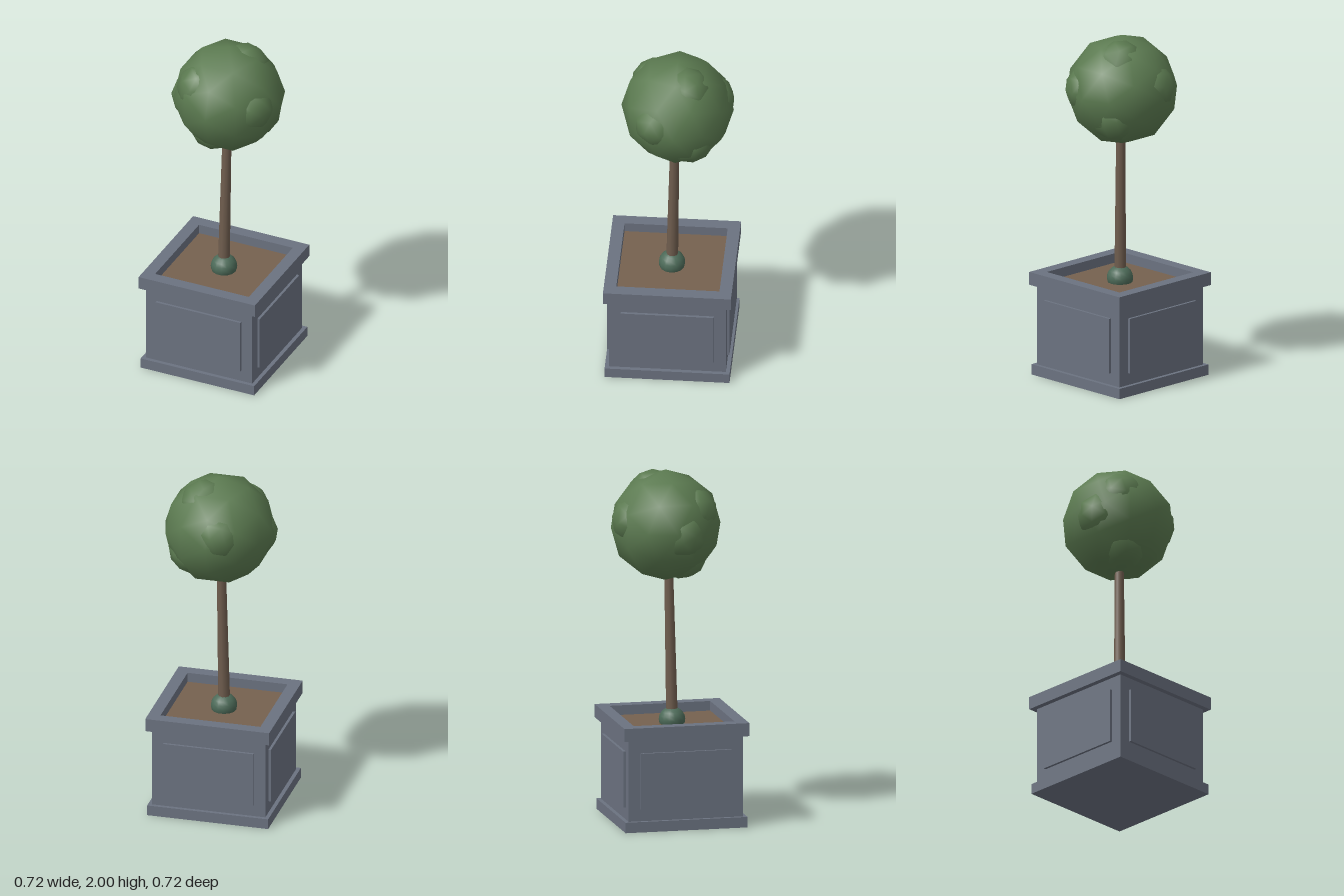
import * as THREE from 'three';

const mat = (color) => new THREE.MeshStandardMaterial({ color });

export function createModel() {
  const model = new THREE.Group();
  model.name = 'pottedTopiary';

  const slate = mat(0x6b7280);
  const soilMat = mat(0x75614f);
  const bark = mat(0x6f5d4e);
  const moss = mat(0x4c6a58);
  const leaf = mat(0x5b7a50);

  const add = (name, geometry, material, x, y, z, parent = model) => {
    const mesh = new THREE.Mesh(geometry, material);
    mesh.name = name;
    mesh.position.set(x, y, z);
    parent.add(mesh);
    return mesh;
  };

  // Square planter
  const planter = new THREE.Group();
  planter.name = 'planter';
  model.add(planter);
  add('plinth', new THREE.BoxGeometry(0.705, 0.06, 0.705), slate, 0, 0.03, 0, planter);
  add('planterBody', new THREE.BoxGeometry(0.66, 0.48, 0.66), slate, 0, 0.29, 0, planter);

  // Raised panel on each side
  for (let i = 0; i < 4; i++) {
    const a = (i * Math.PI) / 2;
    const panel = add('sidePanel', new THREE.BoxGeometry(0.525, 0.32, 0.03), slate,
      Math.sin(a) * 0.33, 0.29, Math.cos(a) * 0.33, planter);
    panel.rotation.y = a;
  }

  // Overhanging rim with a square opening
  const square = (PathType, h) => new PathType([
    new THREE.Vector2(-h, -h), new THREE.Vector2(h, -h),
    new THREE.Vector2(h, h), new THREE.Vector2(-h, h),
  ]);
  const rimShape = square(THREE.Shape, 0.361);
  rimShape.holes.push(square(THREE.Path, 0.291));
  const rimGeo = new THREE.ExtrudeGeometry(rimShape, { depth: 0.075, bevelEnabled: false });
  rimGeo.rotateX(-Math.PI / 2);
  add('rim', rimGeo, slate, 0, 0.525, 0, planter);

  // Soil and moss mound
  add('soil', new THREE.BoxGeometry(0.584, 0.03, 0.584), soilMat, 0, 0.53, 0);
  const mound = add('mossMound', new THREE.SphereGeometry(0.075, 14, 10), moss, 0, 0.57, 0);
  mound.scale.y = 0.94;

  // Tapered trunk, leaning slightly
  const foot = new THREE.Vector3(-0.002, 0.54, 0);
  const head = new THREE.Vector3(0.012, 1.5, -0.018);
  const lean = head.clone().sub(foot);
  const trunk = add('trunk', new THREE.CylinderGeometry(0.025, 0.034, lean.length(), 10), bark, 0, 0, 0);
  trunk.position.copy(foot).add(head).multiplyScalar(0.5);
  trunk.quaternion.setFromUnitVectors(new THREE.Vector3(0, 1, 0), lean.normalize());

  // Clipped crown: one large ball with smaller lumps breaking its surface
  const crown = new THREE.Group();
  crown.name = 'crown';
  crown.position.set(0.016, 1.683, -0.033);
  model.add(crown);
  add('crownBall', new THREE.IcosahedronGeometry(0.317, 1), leaf, 0, 0, 0, crown);

  // Direction of each lump from the crown centre
  const lumps = [
    [0.29, 0.03, 0.16],
    [-0.17, 0.14, 0.2],
    [-0.08, -0.27, 0.14],
    [-0.31, -0.04, 0.08],
    [-0.07, 0.07, -0.29],
    [0.22, -0.19, -0.13],
    [0.11, 0.26, -0.09],
  ];
  lumps.forEach((d, i) => {
    const p = new THREE.Vector3(...d).setLength(0.182);
    const lump = add('leafLump', new THREE.IcosahedronGeometry(0.148, 1), leaf, p.x, p.y, p.z, crown);
    lump.rotation.set(i * 0.7, i * 1.3, 0);
  });

  return model;
}
